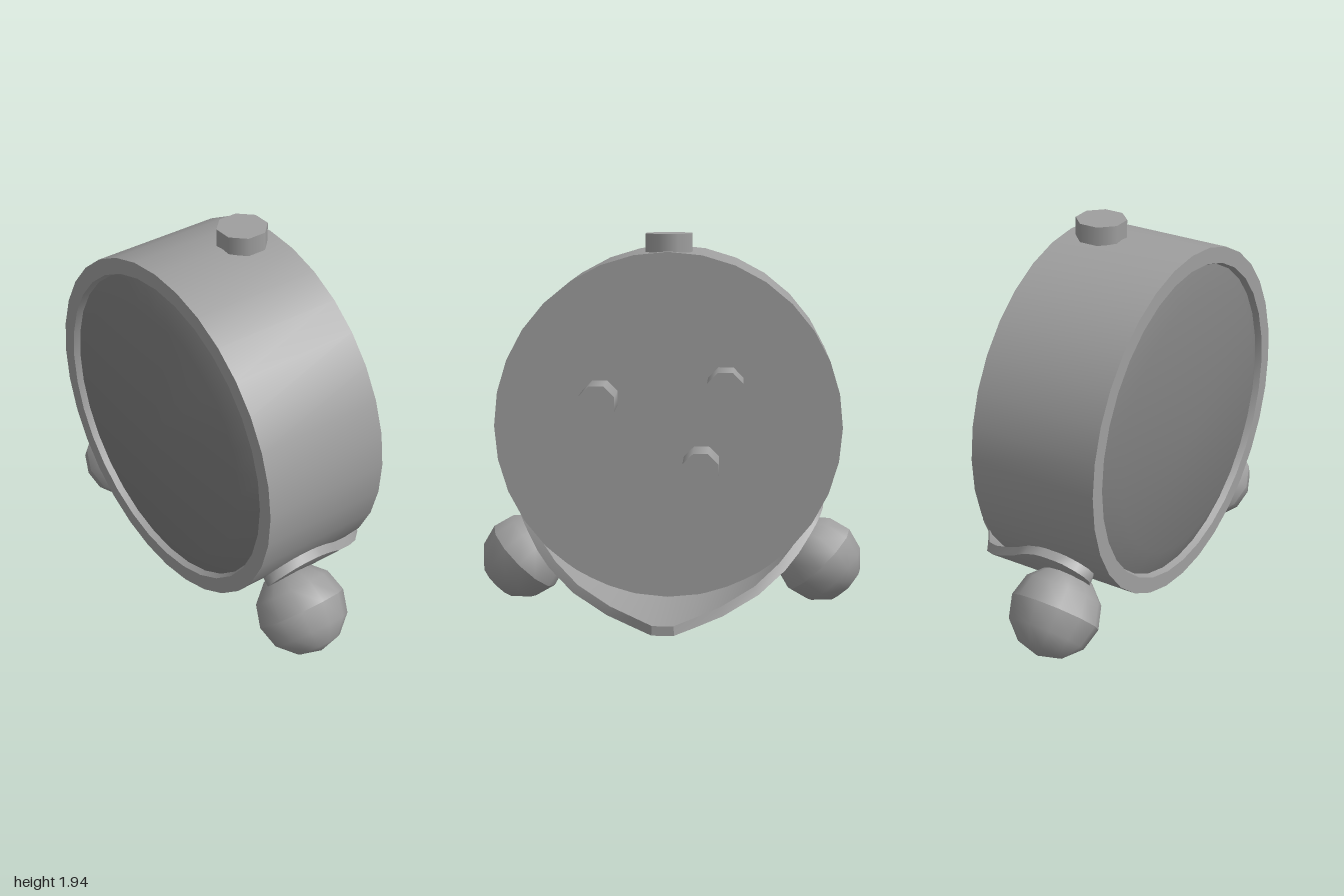
import * as THREE from 'three';
import { toCreasedNormals } from 'three/addons/utils/BufferGeometryUtils.js';

const bodyMaterial = new THREE.MeshStandardMaterial({ color: 0x9f9f9f });
const glassMaterial = new THREE.MeshStandardMaterial({ color: 0x7e7e7e });
const CY = 0.985; // height of the case axis
const R = 0.875; // case radius

function add(group, name, geometry, x = 0, y = 0, z = 0, material = bodyMaterial) {
  const mesh = new THREE.Mesh(geometry, material);
  mesh.name = name;
  mesh.position.set(x, y, z);
  group.add(mesh);
  return mesh;
}

// Solid of revolution about z, from [radius, z] pairs running back to front
function turned(profile) {
  const g = new THREE.LatheGeometry(profile.map(([r, z]) => new THREE.Vector2(r, z)), 32);
  g.rotateX(Math.PI / 2);
  return toCreasedNormals(g, 0.6);
}

// Curved plate hugging the underside of the case: [degrees from bottom, back z, front z]
function standGeometry() {
  const half = [
    [0, -0.64, -0.02], [3.4, -0.64, -0.015], [9.7, -0.53, 0.02], [18, -0.44, 0.1],
    [30, -0.32, 0.24], [40, -0.19, 0.36], [46, -0.09, 0.43], [52, 0.03, 0.47],
    [55, 0.08, 0.46], [57.5, 0.13, 0.42], [59.5, 0.2, 0.36], [60, 0.24, 0.31],
  ];
  const mirrored = half.slice(1).reverse().map(([a, b, f]) => [-a, b, f]);
  const stations = [...mirrored, ...half];
  const positions = [];
  const index = [];
  for (const [deg, back, front] of stations) {
    const a = THREE.MathUtils.degToRad(deg);
    for (const [r, z] of [[R, back], [R + 0.047, back], [R + 0.047, front], [R, front]]) {
      positions.push(r * Math.sin(a), CY - r * Math.cos(a), z);
    }
  }
  const quad = (a, b, c, d) => index.push(a, b, c, a, c, d);
  const last = stations.length - 1;
  for (let i = 0; i < last; i++) {
    for (let k = 0; k < 4; k++) {
      const n = (k + 1) % 4;
      quad(i * 4 + k, i * 4 + 4 + k, i * 4 + 4 + n, i * 4 + n);
    }
  }
  quad(0, 1, 2, 3);
  quad(last * 4 + 3, last * 4 + 2, last * 4 + 1, last * 4);
  const g = new THREE.BufferGeometry();
  g.setAttribute('position', new THREE.Float32BufferAttribute(positions, 3));
  g.setIndex(index);
  return toCreasedNormals(g, 0.8);
}

export function createModel() {
  const group = new THREE.Group();
  group.name = 'alarmClock';

  // Drum case with a front rim and a tapered inner lip
  add(group, 'case', turned([
    [0, -0.09], [R, -0.09], [R, 0.58], [0.795, 0.58], [0.783, 0.545],
  ]), 0, CY, 0);

  // Shallow domed front glass
  add(group, 'glass', turned([
    [0.785, 0.548], [0.66, 0.601], [0, 0.636],
  ]), 0, CY, 0, glassMaterial);

  // Octagonal button on top
  const button = new THREE.CylinderGeometry(0.125, 0.125, 0.093, 8);
  button.rotateY(Math.PI / 8);
  add(group, 'topButton', button, 0, 1.8985, 0.08);

  // Three setting knobs on the back
  const knob = new THREE.CylinderGeometry(0.096, 0.096, 0.235, 8);
  knob.rotateY(Math.PI / 8).rotateX(Math.PI / 2);
  for (const [x, y] of [[0.34, 1.13], [-0.29, 1.2], [-0.17, 0.8]]) {
    add(group, 'backKnob', knob, x, y, -0.1975);
  }

  // Saddle-shaped stand with a tail reaching backwards
  add(group, 'stand', standGeometry());

  // Ball feet, each two half shells whose poles lie along the case radius
  const shell = toCreasedNormals(
    new THREE.SphereGeometry(0.226, 12, 3, 0, Math.PI * 2, 0, Math.PI / 2), 1);
  for (const side of [-1, 1]) {
    const foot = new THREE.Group();
    foot.name = side > 0 ? 'leftFoot' : 'rightFoot';
    foot.position.set(side * 0.782, 0.222, 0.31);
    foot.rotation.z = side * Math.PI / 4;
    add(foot, 'innerHalf', shell);
    add(foot, 'outerHalf', shell).rotation.x = Math.PI;
    group.add(foot);
  }

  return group;
}
